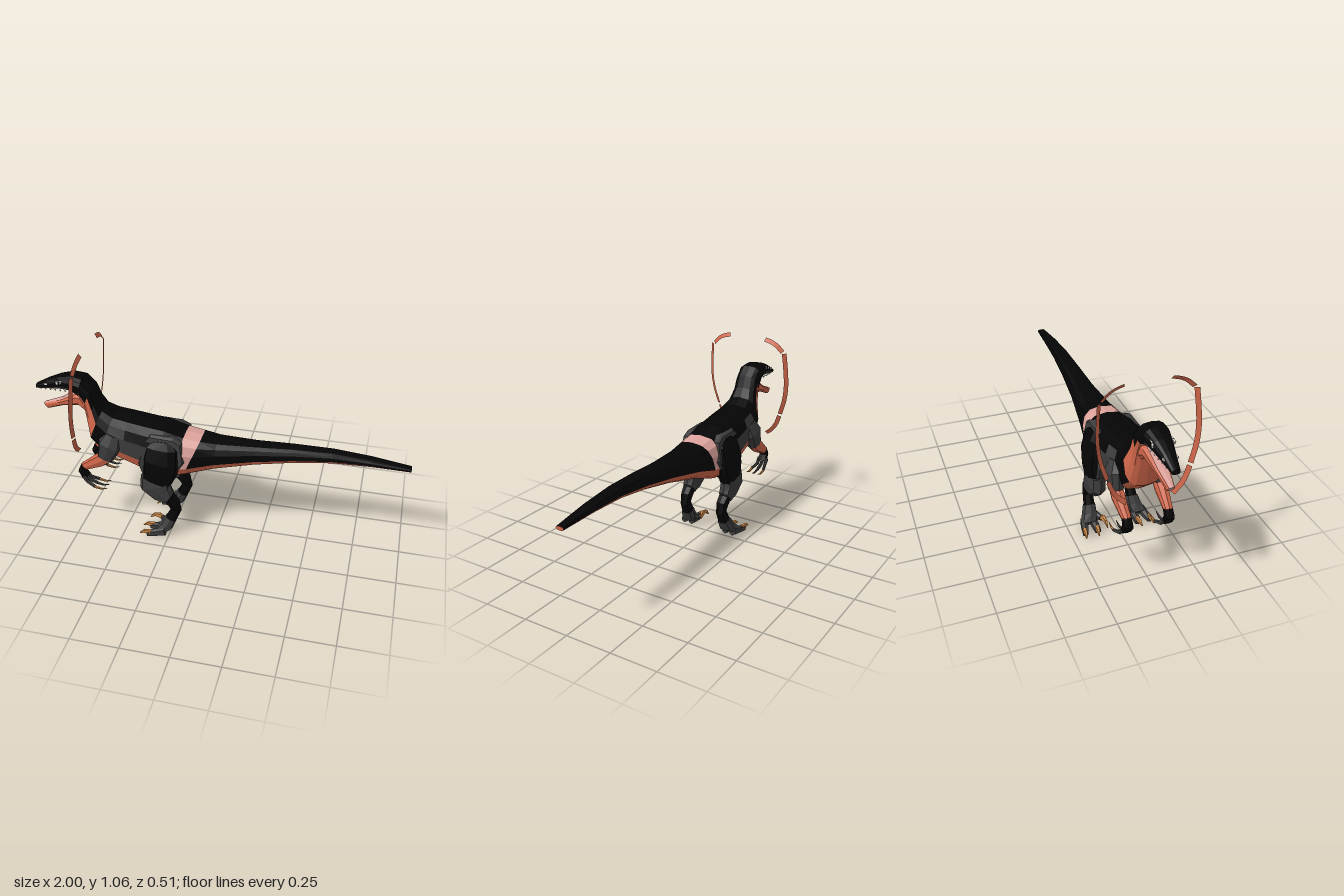
import * as THREE from 'three';

const mat = (name, color) => {
  const m = new THREE.MeshStandardMaterial({ color, flatShading: true, side: THREE.DoubleSide });
  m.name = name;
  return m;
};

export function createModel() {
  const model = new THREE.Group();
  model.name = 'raptor';
  const black = mat('black hide', 0x050505);
  const orange = mat('orange belly', 0xd1674a);
  const gray = mat('gray plates', 0x3c3c3c);
  const pink = mat('pink skin', 0xdda39c);
  const tan = mat('tan claw', 0xc98544);
  const white = mat('white tooth', 0xf0ece4);
  const palette = [black, orange, gray, pink, tan, white];

  const add = (name, geo, material, parent = model) => {
    const mesh = new THREE.Mesh(geo, material);
    mesh.name = name;
    parent.add(mesh);
    return mesh;
  };

  // Boxy oval cross-section between a top and a bottom point
  const soft = (v) => Math.sign(v) * Math.abs(v) ** 0.74;
  const ring = ([tx, ty, bx, by, w, cz = 0], n) => Array.from({ length: n }, (_, i) => {
    const a = (i / n) * Math.PI * 2, c = soft(Math.cos(a)) / 2;
    return [(tx + bx) / 2 + (tx - bx) * c, (ty + by) / 2 + (ty - by) * c, cz + w * soft(Math.sin(a))];
  });

  // Skin over sections with end caps; pick(section, segment) chooses the material
  function loft(name, sections, n, pick, parent) {
    const rings = sections.map((s) => ring(s, n));
    const faces = new Map();
    const put = (m, ...pts) => {
      if (!faces.has(m)) faces.set(m, []);
      faces.get(m).push(...pts.flat());
    };
    for (let s = 0; s < rings.length - 1; s++) {
      for (let i = 0; i < n; i++) {
        const j = (i + 1) % n, A = rings[s], B = rings[s + 1], m = pick(s, i);
        put(m, A[i], A[j], B[j], A[i], B[j], B[i]);
      }
    }
    const first = rings[0], last = rings[rings.length - 1];
    for (let i = 1; i < n - 1; i++) {
      put(pick(0, 0), first[0], first[i + 1], first[i]);
      put(pick(rings.length - 2, n >> 1), last[0], last[i], last[i + 1]);
    }
    const geo = new THREE.BufferGeometry(), all = [];
    for (const [m, pts] of faces) {
      geo.addGroup(all.length / 3, pts.length / 3, palette.indexOf(m));
      for (const v of pts) all.push(v);
    }
    geo.setAttribute('position', new THREE.Float32BufferAttribute(all, 3));
    geo.computeVertexNormals();
    return add(name, geo, palette, parent);
  }

  // Limb along points [x, y, z, in-plane radius, z radius], each section square to the path
  function limb(name, pts, material, parent, n = 8) {
    const sections = pts.map(([x, y, z, r, w], i) => {
      const p = pts[Math.max(0, i - 1)], q = pts[Math.min(pts.length - 1, i + 1)];
      const dx = q[0] - p[0], dy = q[1] - p[1], l = Math.hypot(dx, dy) || 1;
      const ux = (-dy / l) * r, uy = (dx / l) * r;
      return [x + ux, y + uy, x - ux, y - uy, w, z];
    });
    return loft(name, sections, n, () => material, parent);
  }

  // Head, neck, torso and tail, from snout to tail tip
  const body = [
    [-1, 0.79, -1, 0.765, 0.02], [-0.93, 0.828, -0.93, 0.773, 0.033],
    [-0.86, 0.858, -0.86, 0.785, 0.048], [-0.79, 0.876, -0.79, 0.785, 0.062],
    [-0.725, 0.868, -0.75, 0.76, 0.07], [-0.675, 0.82, -0.725, 0.70, 0.07],
    [-0.65, 0.755, -0.715, 0.61, 0.076], [-0.62, 0.702, -0.70, 0.51, 0.096],
    [-0.56, 0.675, -0.63, 0.445, 0.115], [-0.48, 0.665, -0.50, 0.40, 0.123],
    [-0.38, 0.652, -0.40, 0.36, 0.126], [-0.28, 0.64, -0.30, 0.345, 0.126],
    [-0.175, 0.61, -0.23, 0.345, 0.122], [-0.085, 0.597, -0.19, 0.355, 0.112],
    [0, 0.585, -0.02, 0.415, 0.092], [0.2, 0.587, 0.2, 0.47, 0.066],
    [0.4, 0.597, 0.4, 0.51, 0.053], [0.6, 0.6, 0.6, 0.538, 0.043],
    [0.8, 0.585, 0.8, 0.545, 0.034], [1, 0.56, 1, 0.54, 0.022],
  ];
  loft('body', body, 14, (s, i) => {
    const k = Math.min(i, 13 - i); // 0 on the back, 6 under the belly
    if (s < 3) return k > 4 ? pink : k === 4 ? gray : black;
    if (s === 3) return k > 4 ? pink : black;
    if (s === 5 || s === 6) return k > 2 ? orange : black;
    if (s === 7) return k > 4 ? orange : black;
    if (k > 3) return orange;
    if (s === 12) return pink;
    return (s === 8 && k > 1) || ((s === 9 || s === 10) && k === 3) ? gray : black;
  });

  // Open lower jaw
  loft('lowerJaw', [
    [-0.97, 0.678, -0.945, 0.645, 0.018], [-0.87, 0.715, -0.85, 0.682, 0.034],
    [-0.77, 0.778, -0.755, 0.70, 0.052], [-0.70, 0.79, -0.70, 0.65, 0.058],
  ], 10, (s, i) => (i < 1 || i > 8 ? pink : orange));

  for (const s of [1, -1]) {
    const side = new THREE.Group();
    side.name = s > 0 ? 'leftSide' : 'rightSide';
    model.add(side);

    // Short upper teeth
    for (let k = 0; k < 6; k++) {
      const t = k / 5;
      const tooth = add('tooth', new THREE.ConeGeometry(0.006, 0.01, 4), white, side);
      tooth.position.set(-0.975 + t * 0.15, 0.766 + t * 0.016, s * (0.014 + t * 0.026));
      tooth.rotation.z = Math.PI;
    }

    // Eye and nostril plates
    const eye = add('eye', new THREE.BoxGeometry(0.038, 0.016, 0.009), white, side);
    eye.position.set(-0.85, 0.836, s * 0.048);
    eye.rotation.set(0, s * 0.22, 0.25);
    const pupil = add('pupil', new THREE.BoxGeometry(0.01, 0.016, 0.0095), black, side);
    pupil.position.set(-0.85, 0.836, s * 0.0495);
    const nostril = add('nostril', new THREE.BoxGeometry(0.02, 0.009, 0.008), white, side);
    nostril.position.set(-0.935, 0.808, s * 0.031);
    nostril.rotation.y = s * 0.2;

    // Arm: gray upper arm, orange forearm, black hand
    limb('upperArm', [
      [-0.55, 0.588, s * 0.092, 0.045, 0.03], [-0.57, 0.53, s * 0.108, 0.065, 0.04],
      [-0.60, 0.445, s * 0.11, 0.045, 0.034],
    ], gray, side);
    limb('forearm', [
      [-0.575, 0.465, s * 0.11, 0.035, 0.03], [-0.63, 0.425, s * 0.11, 0.04, 0.032],
      [-0.735, 0.36, s * 0.105, 0.022, 0.022],
    ], orange, side);
    limb('hand', [
      [-0.725, 0.368, s * 0.105, 0.024, 0.024], [-0.745, 0.335, s * 0.105, 0.021, 0.027],
      [-0.725, 0.295, s * 0.105, 0.016, 0.03],
    ], black, side);
    for (const dz of [-0.025, 0, 0.025]) {
      const z = s * (0.105 + dz), tip = s * (0.105 + dz * 1.5);
      limb('finger', [[-0.732, 0.308, z, 0.012, 0.009], [-0.71, 0.277, z, 0.011, 0.008],
        [-0.665, 0.259, tip, 0.009, 0.007]], gray, side, 6);
      limb('fingerClaw', [[-0.668, 0.26, tip, 0.009, 0.006], [-0.63, 0.251, tip, 0.006, 0.005],
        [-0.595, 0.258, tip, 0.001, 0.001]], dz ? tan : gray, side, 5);
    }

    // Gray hip plate framing the black thigh, leaning in towards the back
    const hip = new THREE.Shape([
      [-0.405, 0.44], [-0.38, 0.575], [-0.345, 0.608], [-0.225, 0.603], [-0.185, 0.58],
      [-0.17, 0.48], [-0.25, 0.36], [-0.38, 0.36],
    ].map(([x, y]) => new THREE.Vector2(x, y)));
    const plateGeo = new THREE.ExtrudeGeometry(hip, {
      depth: 0.05, bevelEnabled: true, bevelThickness: 0.012, bevelSize: 0.008, bevelSegments: 1,
    });
    const pp = plateGeo.attributes.position;
    for (let i = 0; i < pp.count; i++) {
      const lean = Math.max(0, pp.getY(i) - 0.44) * 0.13;
      pp.setZ(i, pp.getZ(i) + (s > 0 ? 0.07 - lean : -0.12 + lean));
    }
    plateGeo.computeVertexNormals();
    add('hipPlate', plateGeo, gray, side);

    limb('thigh', [
      [-0.28, 0.588, s * 0.084, 0.06, 0.032], [-0.28, 0.55, s * 0.096, 0.092, 0.044],
      [-0.285, 0.47, s * 0.11, 0.1, 0.053], [-0.298, 0.40, s * 0.115, 0.092, 0.05],
      [-0.315, 0.345, s * 0.115, 0.08, 0.044],
    ], black, side, 10);
    limb('knee', [
      [-0.32, 0.36, s * 0.114, 0.086, 0.04], [-0.322, 0.315, s * 0.117, 0.095, 0.043],
      [-0.287, 0.27, s * 0.118, 0.068, 0.039], [-0.25, 0.24, s * 0.118, 0.04, 0.035],
    ], gray, side);
    limb('shin', [
      [-0.25, 0.24, s * 0.118, 0.032, 0.034], [-0.225, 0.21, s * 0.117, 0.034, 0.031],
      [-0.212, 0.165, s * 0.117, 0.029, 0.027], [-0.245, 0.095, s * 0.12, 0.03, 0.031],
    ], black, side);

    // Foot with toes, claws and a raised sickle claw
    limb('foot', [
      [-0.24, 0.108, s * 0.12, 0.032, 0.034], [-0.265, 0.06, s * 0.127, 0.037, 0.042],
      [-0.305, 0.03, s * 0.14, 0.024, 0.045],
    ], gray, side);
    for (const [z, tip] of [[0.113, 0.112], [0.16, 0.18]]) {
      limb('toe', [[-0.27, 0.033, s * z, 0.03, 0.02], [-0.32, 0.024, s * (z + tip) / 2, 0.023, 0.019],
        [-0.365, 0.017, s * tip, 0.016, 0.016]], gray, side, 6);
      limb('toeClaw', [[-0.345, 0.027, s * tip, 0.015, 0.013], [-0.38, 0.031, s * (tip + 0.004), 0.012, 0.01],
        [-0.405, 0.02, s * (tip + 0.008), 0.003, 0.003]], tan, side, 5);
    }
    limb('innerToe', [[-0.265, 0.06, s * 0.10, 0.022, 0.018],
      [-0.31, 0.052, s * 0.076, 0.017, 0.014]], gray, side, 6);
    limb('sickleClaw', [[-0.295, 0.046, s * 0.074, 0.016, 0.013], [-0.325, 0.064, s * 0.07, 0.015, 0.012],
      [-0.355, 0.062, s * 0.067, 0.011, 0.009], [-0.38, 0.038, s * 0.065, 0.003, 0.003]], tan, side, 5);

    // Thin curved ribbon beside the head, in three pieces of [z, y]
    const ribbons = [
      [[0.112, 1.048], [0.15, 1.038], [0.185, 1.02], [0.22, 0.987]],
      [[0.231, 0.98], [0.24, 0.88], [0.243, 0.79], [0.232, 0.7], [0.204, 0.608]],
      [[0.2, 0.595], [0.178, 0.54], [0.152, 0.503], [0.115, 0.47]],
    ];
    for (const points of ribbons) {
      const curve = new THREE.CatmullRomCurve3(points.map(([z, y]) => new THREE.Vector3(-0.745 + (y - 0.47) * 0.1, y, s * z)));
      const geo = new THREE.PlaneGeometry(1, 1, 10, 1), pos = geo.attributes.position;
      for (let i = 0; i < pos.count; i++) {
        const u = pos.getX(i) + 0.5, p = curve.getPoint(u), t = curve.getTangent(u), w = pos.getY(i) * 0.022;
        pos.setXYZ(i, p.x + s * w * 0.6, p.y - t.z * w, p.z + t.y * w);
      }
      geo.computeVertexNormals();
      add('ribbon', geo, orange, side);
    }
  }
  return model;
}
